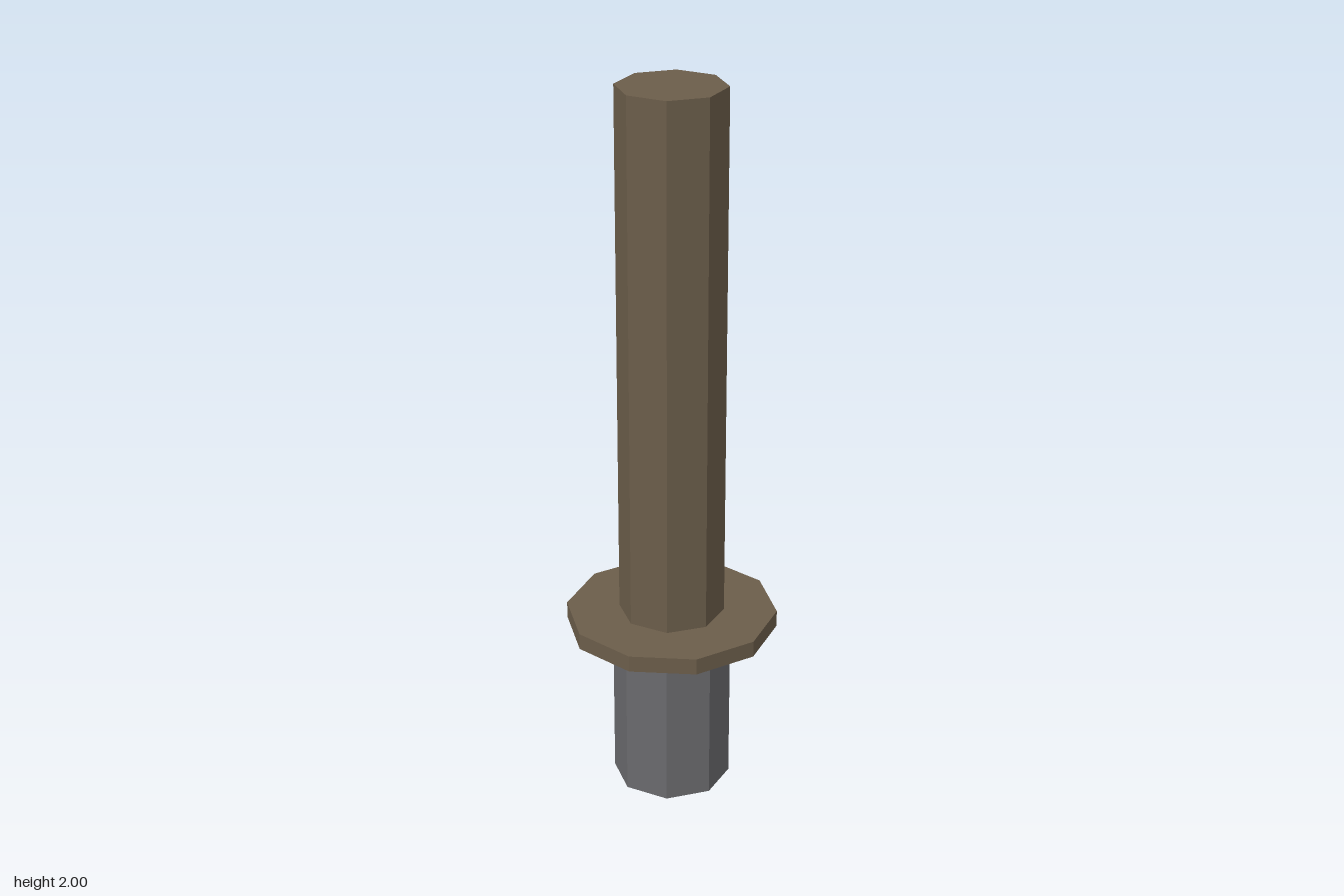
import * as THREE from 'three';

export function createModel() {
  const group = new THREE.Group();

  const brown = new THREE.MeshStandardMaterial({ color: 0x6b5d4a, flatShading: true });
  brown.name = 'brown';
  const grey = new THREE.MeshStandardMaterial({ color: 0x6a6a6d, flatShading: true });
  grey.name = 'grey';

  // Upright faceted cylinder with a corner on the x axis
  function prism(name, radius, sides, bottom, top, material) {
    const geometry = new THREE.CylinderGeometry(radius, radius, top - bottom, sides);
    geometry.rotateY(Math.PI / 2);
    const mesh = new THREE.Mesh(geometry, material);
    mesh.name = name;
    mesh.position.y = (bottom + top) / 2;
    group.add(mesh);
  }

  prism('base', 0.163, 8, 0, 0.478, grey);
  prism('collar', 0.291, 10, 0.478, 0.524, brown);
  prism('shaft', 0.145, 8, 0.524, 2, brown);

  return group;
}
